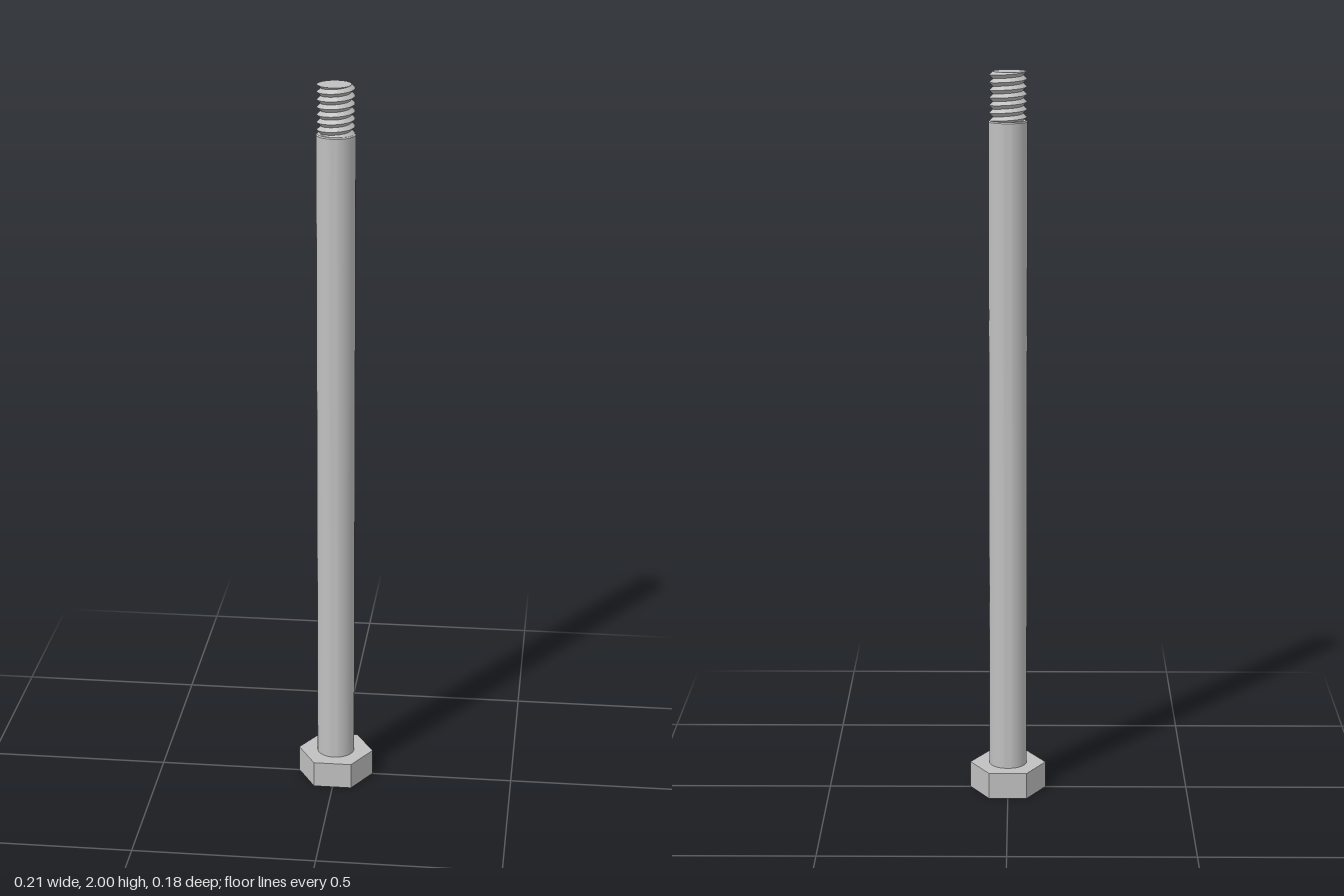
import * as THREE from 'three';
import { toCreasedNormals } from 'three/addons/utils/BufferGeometryUtils.js';

const SEG = 48;
const HEAD_H = 0.074, SHANK_R = 0.052, SHANK_TOP = 1.87, TOP = 2;
const PITCH = 0.02, ROOT_R = 0.04, CREST_R = 0.05;

// Right-handed V thread: rows alternate root and crest, clipped flat at both ends
function threadGeometry() {
  const pos = [];
  const point = (k, j) => {
    const turn = j / SEG, a = turn * Math.PI * 2;
    const y = THREE.MathUtils.clamp(TOP + PITCH * (k / 2 + turn), SHANK_TOP - 0.002, TOP);
    const u = (y - TOP) / PITCH - turn;
    const r = ROOT_R + (CREST_R - ROOT_R) * 2 * Math.abs(u - Math.round(u));
    return new THREE.Vector3(Math.cos(a) * r, y, -Math.sin(a) * r);
  };
  const tri = (a, b, c) => {
    const area = b.clone().sub(a).cross(c.clone().sub(a)).length();
    if (area > 1e-10) for (const p of [a, b, c]) pos.push(p.x, p.y, p.z);
  };
  const centre = new THREE.Vector3(0, TOP, 0);
  for (let j = 0; j < SEG; j++) {
    for (let k = -17; k < 0; k++) {
      const a = point(k, j), b = point(k, j + 1), c = point(k + 1, j + 1), d = point(k + 1, j);
      tri(a, b, c);
      tri(a, c, d);
    }
    tri(centre, point(0, j), point(0, j + 1)); // end face
  }
  const g = new THREE.BufferGeometry();
  g.setAttribute('position', new THREE.Float32BufferAttribute(pos, 3));
  return toCreasedNormals(g, 0.5);
}

export function createModel() {
  const group = new THREE.Group();
  const steel = new THREE.MeshStandardMaterial({ color: 0xc0c0c0 });
  steel.name = 'steel';
  const add = (name, geometry) => {
    const mesh = new THREE.Mesh(geometry, steel);
    mesh.name = name;
    group.add(mesh);
    return mesh;
  };

  // Hexagonal head with corners on the x axis
  const head = new THREE.CylinderGeometry(0.105, 0.105, HEAD_H, 6);
  head.rotateY(Math.PI / 2).translate(0, HEAD_H / 2, 0);
  add('head', toCreasedNormals(head, 0.5));

  // Plain shank with a small chamfer at the shoulder
  const profile = [
    [SHANK_R, HEAD_H], [SHANK_R, SHANK_TOP - 0.003], [SHANK_R - 0.003, SHANK_TOP], [0, SHANK_TOP],
  ].map(([r, y]) => new THREE.Vector2(r, y));
  add('shank', toCreasedNormals(new THREE.LatheGeometry(profile, SEG), 0.5));

  add('thread', threadGeometry());
  return group;
}
